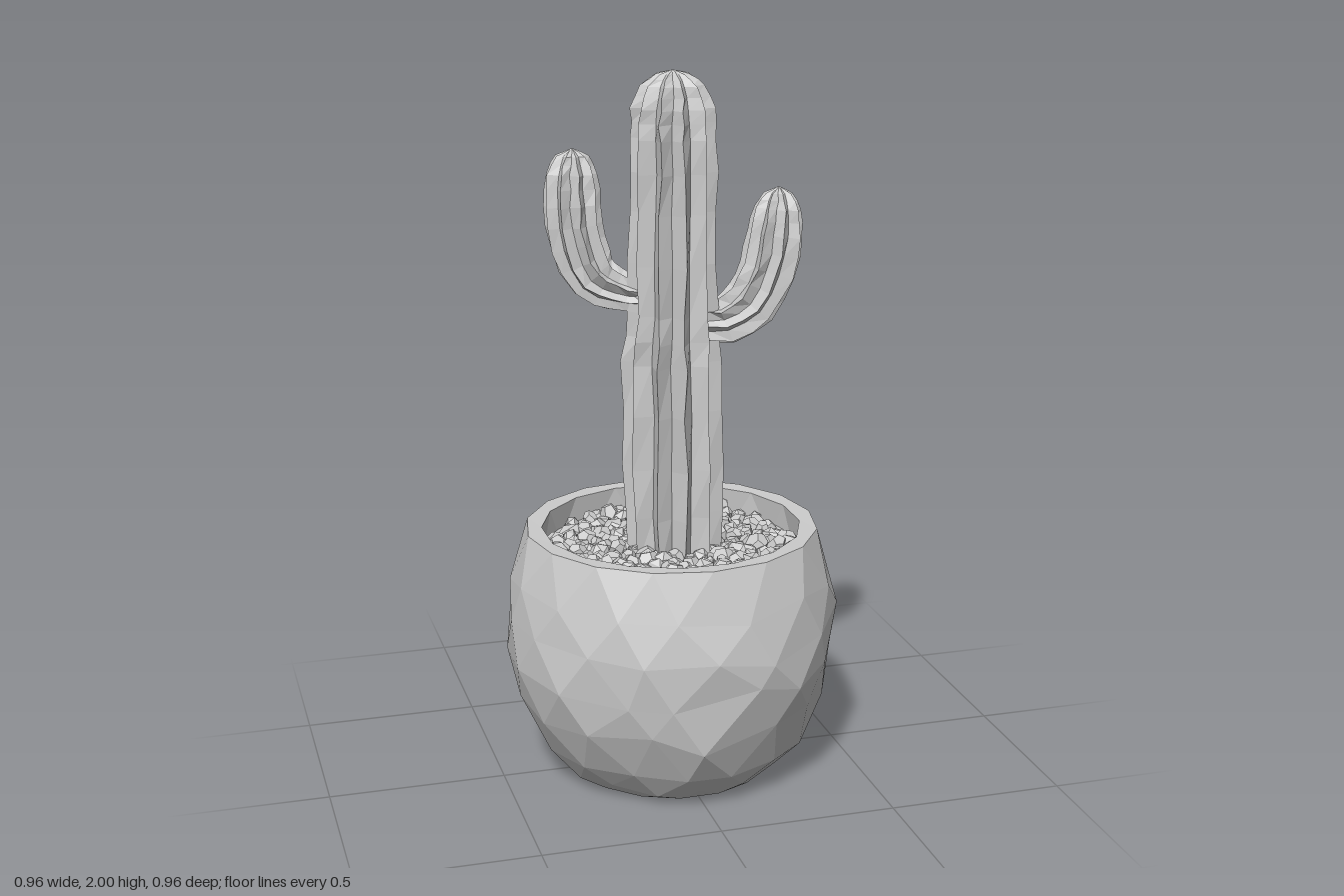
import * as THREE from 'three';
import { mergeGeometries } from 'three/addons/utils/BufferGeometryUtils.js';

const V = (x, y, z) => new THREE.Vector3(x, y, z);

// Small seeded random, returns -1..1
function seeded(seed) {
  let s = seed;
  return () => {
    s = (s * 16807) % 2147483647;
    return (s / 2147483647) * 2 - 1;
  };
}

// Flat-shaded skin over closed rings; staggered rings are offset by half a step
function skin(rings, staggered) {
  const pos = [];
  const tri = (a, b, c) => {
    const area = b.clone().sub(a).cross(c.clone().sub(a)).length();
    if (area > 1e-7) for (const p of [a, b, c]) pos.push(p.x, p.y, p.z);
  };
  for (let i = 0; i < rings.length - 1; i++) {
    const lo = rings[i], hi = rings[i + 1], n = lo.length;
    for (let j = 0; j < n; j++) {
      const k = (j + 1) % n;
      if (staggered && i % 2 === 0) {
        tri(lo[j], lo[k], hi[j]);
        tri(lo[k], hi[k], hi[j]);
      } else {
        tri(lo[j], lo[k], hi[k]);
        tri(lo[j], hi[k], hi[j]);
      }
    }
  }
  const g = new THREE.BufferGeometry();
  g.setAttribute('position', new THREE.Float32BufferAttribute(pos, 3));
  g.computeVertexNormals();
  return g;
}

// Rough faceted bowl: outside, rim and inner wall in one profile of [radius, y, jitter]
function potGeometry() {
  const rnd = seeded(41), n = 16;
  const profile = [
    [0, 0, 0], [0.285, 0, 0.006], [0.33, 0.035, 0.008], [0.39, 0.12, 0.02], [0.445, 0.23, 0.022],
    [0.473, 0.36, 0.02], [0.476, 0.47, 0.02], [0.458, 0.59, 0.018],
    [0.415, 0.72, 0], [0.368, 0.718, 0], [0.372, 0.6, 0],
  ];
  const rings = profile.map(([r, y, jit], i) => Array.from({ length: n }, (_, j) => {
    const a = ((j + (i % 2) * 0.5 + rnd() * jit * 9) / n) * Math.PI * 2;
    const rr = r + rnd() * jit * 0.35;
    const yy = y > 0 ? y + rnd() * jit * 1.3 : 0;
    return V(Math.cos(a) * rr, yy, -Math.sin(a) * rr);
  }));
  return skin(rings, true);
}

// Ribbed stem swept along a path; stations are [x, y, z, radius]
function stemGeometry(stations, ribs, side, seed, steps) {
  const rnd = seeded(seed);
  const curve = new THREE.CatmullRomCurve3(stations.map(([x, y, z]) => V(x, y, z)));
  const rings = [];
  const last = stations.length - 1;
  for (let i = 0; i <= last * steps; i++) {
    const t = i / (last * steps), s = Math.min(Math.floor(i / steps), last - 1);
    const radius = THREE.MathUtils.lerp(stations[s][3], stations[s + 1][3], i / steps - s);
    const c = curve.getPoint(t), dir = curve.getTangent(t);
    const u = side.clone().addScaledVector(dir, -side.dot(dir)).normalize();
    const v = dir.clone().cross(u);
    rings.push(Array.from({ length: ribs * 2 }, (_, j) => {
      const crest = j % 2 === 0;
      const a = ((j + rnd() * 0.16) / (ribs * 2)) * Math.PI * 2;
      const r = radius * (crest ? 1 + rnd() * 0.045 : 0.7 + rnd() * 0.02);
      return c.clone().addScaledVector(u, Math.cos(a) * r).addScaledVector(v, Math.sin(a) * r);
    }));
  }
  return skin(rings, false);
}

// Angular pebbles spread in a sunflower pattern
function gravelGeometry() {
  const rnd = seeded(977), count = 210, stones = [];
  for (let i = 0; i < count; i++) {
    const r = 0.35 * Math.sqrt((i + 0.5) / count), a = i * 2.39996;
    if (r < 0.09) continue;
    const size = 0.031 + rnd() * 0.005;
    const g = i % 3 ? new THREE.DodecahedronGeometry(size) : new THREE.IcosahedronGeometry(size);
    g.scale(1 + rnd() * 0.25, 0.85 + rnd() * 0.2, 1 + rnd() * 0.25);
    g.rotateX(rnd() * 3).rotateY(rnd() * 3).rotateZ(rnd() * 3);
    g.translate(Math.cos(a) * r + rnd() * 0.006, 0.648 + rnd() * 0.008, Math.sin(a) * r + rnd() * 0.006);
    stones.push(g);
  }
  return mergeGeometries(stones);
}

export function createModel() {
  const model = new THREE.Group();
  model.name = 'pottedCactus';
  const grey = new THREE.MeshStandardMaterial({ color: 0xcccccc });
  grey.name = 'plainGrey';

  const add = (name, geometry) => {
    const mesh = new THREE.Mesh(geometry, grey);
    mesh.name = name;
    model.add(mesh);
    return mesh;
  };

  add('pot', potGeometry());

  // Ground under the pebbles
  add('soil', new THREE.CircleGeometry(0.37, 24).rotateX(-Math.PI / 2)).position.y = 0.645;
  add('gravel', gravelGeometry());

  add('trunk', stemGeometry([
    [0.01, 0.62, -0.01, 0.135], [0.008, 0.9, -0.01, 0.139], [0.005, 1.2, -0.01, 0.14],
    [0.005, 1.34, -0.005, 0.126], [0.005, 1.62, 0, 0.122], [0.005, 1.82, 0, 0.119],
    [0.005, 1.9, 0, 0.113], [0.005, 1.96, 0, 0.088], [0.005, 1.99, 0, 0.045], [0.005, 2, 0, 0],
  ], 11, V(0, 0, 1), 7, 2));

  // Lower arm on the model's left
  add('leftArm', stemGeometry([
    [0.07, 1.3, 0, 0.05], [0.15, 1.31, 0.03, 0.068], [0.215, 1.36, 0.045, 0.078],
    [0.262, 1.45, 0.05, 0.081], [0.282, 1.55, 0.05, 0.079], [0.29, 1.62, 0.048, 0.068],
    [0.293, 1.662, 0.046, 0.04], [0.293, 1.68, 0.045, 0],
  ], 9, V(0, 0, 1), 19, 2));

  // Higher arm on the model's right, set slightly back
  add('rightArm', stemGeometry([
    [-0.07, 1.38, -0.03, 0.045], [-0.14, 1.395, -0.06, 0.06], [-0.2, 1.43, -0.08, 0.074],
    [-0.24, 1.52, -0.095, 0.08], [-0.252, 1.63, -0.1, 0.081], [-0.252, 1.715, -0.105, 0.073],
    [-0.25, 1.765, -0.105, 0.045], [-0.25, 1.785, -0.105, 0],
  ], 9, V(0.3, 0, -0.95), 31, 2));

  return model;
}
